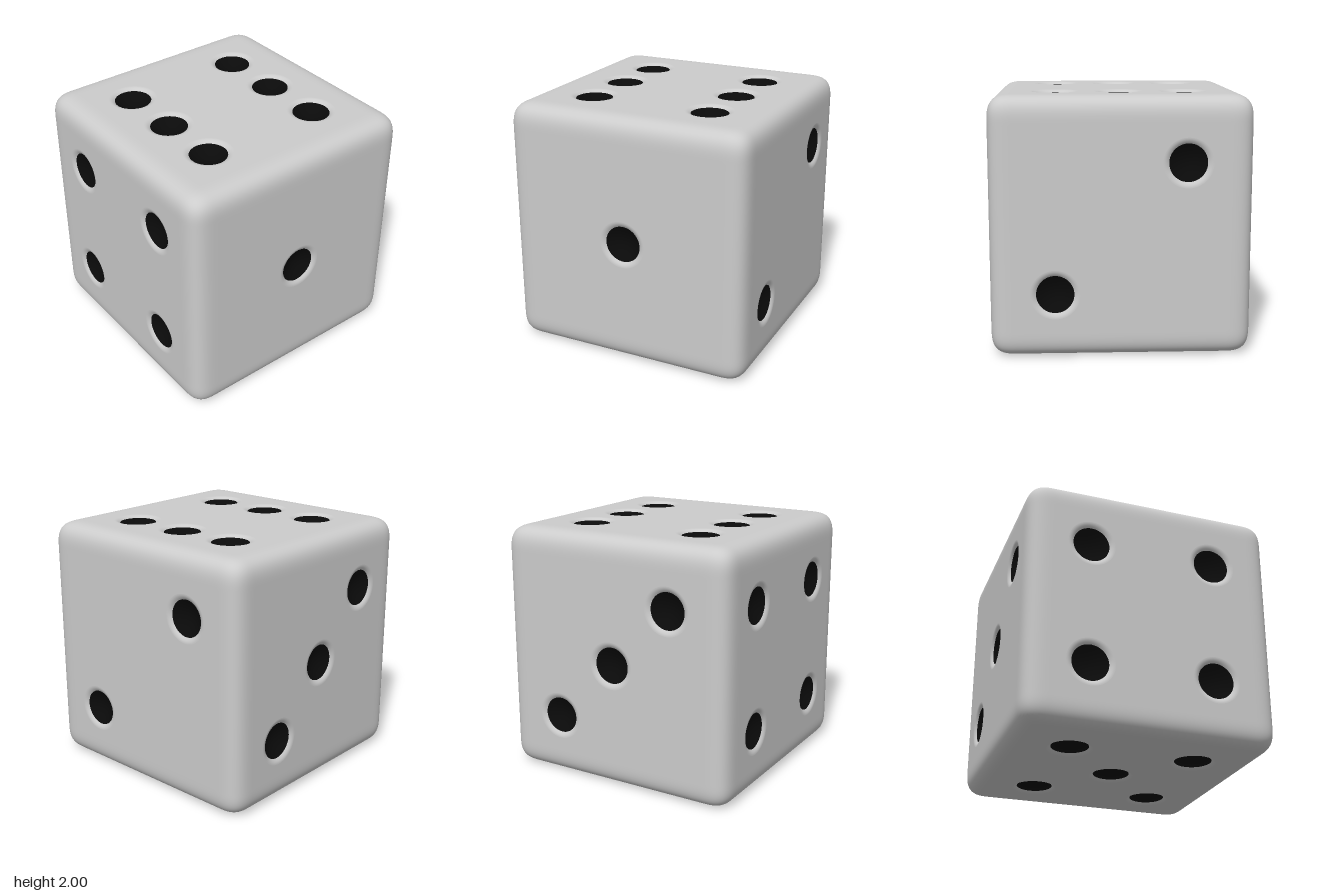
import * as THREE from 'three';

const ROUND = 0.22;          // width of the softened edge
const FLAT = 1 - ROUND;      // half width of the flat area of a face
const POWER = 3.3;           // squareness of the softened edge
const STEPS = 9;             // segments across each softened edge
const HOLE_R = 0.19, PIP_R = 0.145, LIP = 0.02, BOWL = 0.06, SIDES = 48;

const h = 0.5;
const corners = [[-h, -h], [h, h], [-h, h], [h, -h]];
// Face rotation (x, y) and pip positions, as seen looking straight at the face
const FACES = [
  { name: 'frontFace', rot: [0, 0], pips: [[0, 0]] },
  { name: 'rightFace', rot: [0, Math.PI / 2], pips: [[-h, -h], [h, h]] },
  { name: 'backFace', rot: [0, Math.PI], pips: [[-h, -h], [0, 0], [h, h]] },
  { name: 'leftFace', rot: [0, -Math.PI / 2], pips: corners },
  { name: 'bottomFace', rot: [Math.PI / 2, 0], pips: [...corners, [0, 0]] },
  { name: 'topFace', rot: [-Math.PI / 2, 0], pips: [...corners, [-h, 0], [h, 0]] },
];

// Softened edges and corners: a box grid bent onto a superellipse, flat middles left out
function edgeGeometry() {
  const n = 2 * STEPS + 1;
  const geo = new THREE.BoxGeometry(n, n, n, n, n, n);
  const pos = geo.attributes.position, normal = geo.attributes.normal;
  const flat = [];
  for (let i = 0; i < pos.count; i++) {
    const p = [pos.getX(i), pos.getY(i), pos.getZ(i)];
    const d = p.map((v) => Math.sign(v) * Math.max(0, Math.abs(v) - 0.5) / STEPS);
    const len = d.reduce((s, v) => s + Math.abs(v) ** POWER, 0) ** (1 / POWER);
    const e = d.map((v) => v / len);
    pos.setXYZ(i, ...p.map((v, k) => Math.sign(v) * FLAT + e[k] * ROUND));
    const nv = new THREE.Vector3(...e.map((v) => Math.sign(v) * Math.abs(v) ** (POWER - 1))).normalize();
    normal.setXYZ(i, nv.x, nv.y, nv.z);
    flat.push(d.filter((v) => Math.abs(v) < 1e-6).length === 2);
  }
  const index = Array.from(geo.index.array), kept = [];
  for (let i = 0; i < index.length; i += 3) {
    const tri = index.slice(i, i + 3);
    if (!tri.every((v) => flat[v])) kept.push(...tri);
  }
  geo.setIndex(kept);
  geo.clearGroups();
  return geo;
}

// Flat square with a round hole for each pip
function panelGeometry(pips) {
  const shape = new THREE.Shape([[-1, -1], [1, -1], [1, 1], [-1, 1]]
    .map(([x, y]) => new THREE.Vector2(x * FLAT, y * FLAT)));
  for (const [x, y] of pips) {
    shape.holes.push(new THREE.Path().absarc(x, y, HOLE_R, 0, Math.PI * 2, true));
  }
  return new THREE.ShapeGeometry(shape, SIDES / 2).translate(0, 0, 1);
}

// Turned profile running from the outer radius inward, opening towards +z
function turned(steps, profile) {
  const pts = Array.from({ length: steps + 1 }, (_, i) => new THREE.Vector2(...profile(i / steps)));
  return new THREE.LatheGeometry(pts, SIDES).rotateX(Math.PI / 2);
}

export function createModel() {
  const die = new THREE.Group();
  die.name = 'die';
  const body = new THREE.MeshStandardMaterial({ color: 0xcccccc });
  const dark = new THREE.MeshStandardMaterial({ color: 0x0a0a0a });

  const add = (parent, name, geo, mat) => {
    const mesh = new THREE.Mesh(geo, mat);
    mesh.name = name;
    parent.add(mesh);
    return mesh;
  };

  const lipGeo = turned(6, (t) => [HOLE_R + (PIP_R - HOLE_R) * t, -LIP * t * t]);
  const bowlGeo = turned(8, (t) => [PIP_R * (1 - t), -LIP - BOWL * (1 - (1 - t) ** 2)]);

  add(die, 'roundedEdges', edgeGeometry(), body);

  for (const { name, rot, pips } of FACES) {
    const face = new THREE.Group();
    face.name = name;
    face.rotation.set(rot[0], rot[1], 0);
    add(face, 'panel', panelGeometry(pips), body);
    for (const [x, y] of pips) {
      add(face, 'pipLip', lipGeo, body).position.set(x, y, 1);
      add(face, 'pip', bowlGeo, dark).position.set(x, y, 1);
    }
    die.add(face);
  }

  die.position.y = 1;
  const model = new THREE.Group();
  model.name = 'model';
  model.add(die);
  return model;
}
